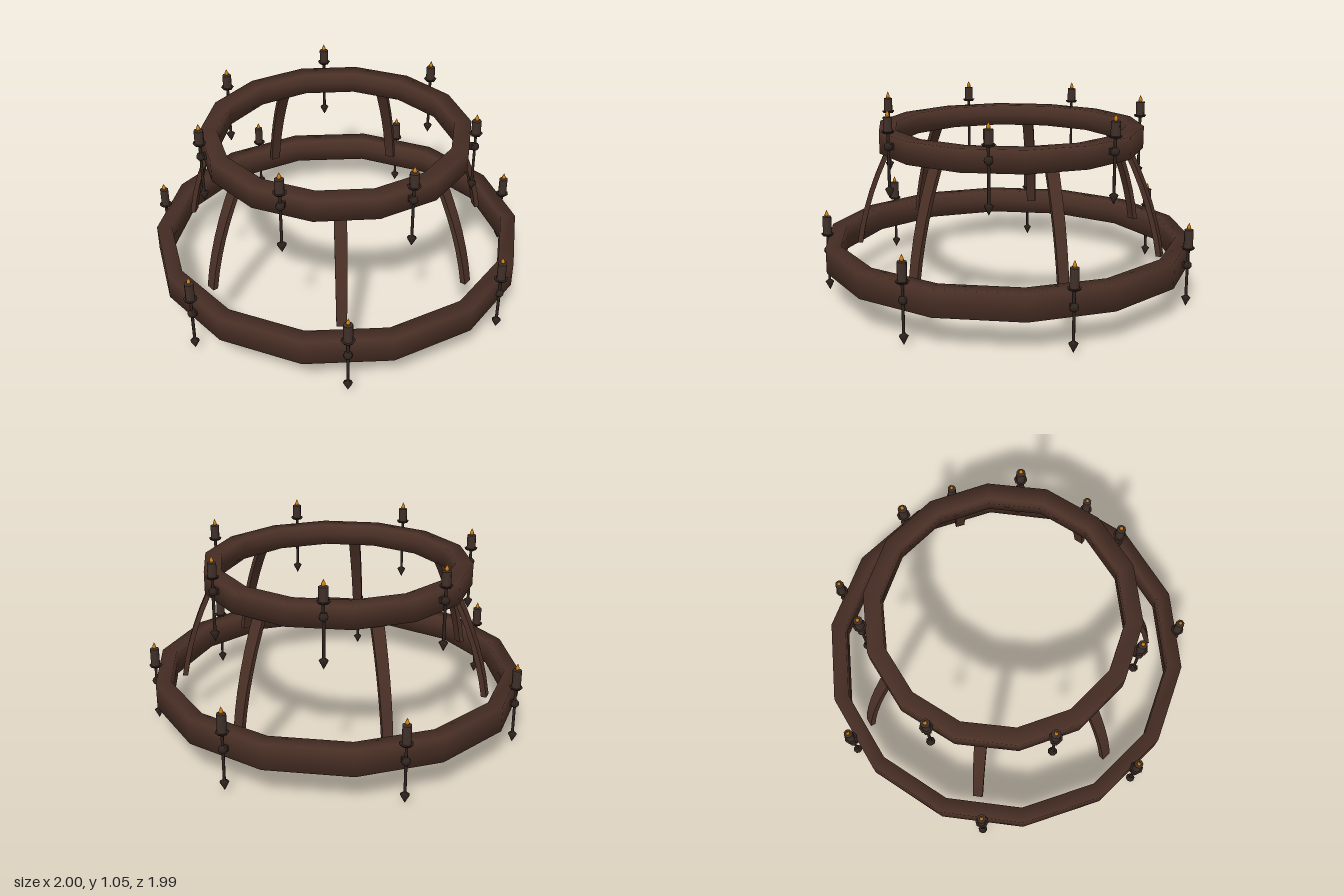
import * as THREE from 'three';

const wood = new THREE.MeshStandardMaterial({ name: 'darkWood', color: 0x4a3026 });
const iron = new THREE.MeshStandardMaterial({ name: 'blackenedIron', color: 0x30241e });
const wax = new THREE.MeshStandardMaterial({ name: 'candleHolderBrown', color: 0x40302a });
const fire = new THREE.MeshStandardMaterial({ name: 'flameOrange', color: 0xd0800f });

function part(name, geometry, material, x = 0, y = 0, z = 0) {
  const mesh = new THREE.Mesh(geometry, material);
  mesh.name = name;
  mesh.position.set(x, y, z);
  return mesh;
}

// Fourteen-sided hoop with a rectangular section
function hoop(name, inner, outer, bottom, top) {
  const mid = (bottom + top) / 2;
  const profile = [[inner, mid], [inner, bottom], [outer, bottom], [outer, top], [inner, top], [inner, mid]]
    .map(([r, y]) => new THREE.Vector2(r, y));
  return part(name, new THREE.LatheGeometry(profile, 14), wood);
}

// Bowed strut running from the upper hoop down and out to the lower one
function strutGeometry() {
  const geometry = new THREE.BoxGeometry(0.028, 1, 1, 1, 6, 1);
  const p = geometry.attributes.position;
  for (let i = 0; i < p.count; i++) {
    const t = p.getY(i) + 0.5;
    const y = 0.3 + 0.56 * t;
    const s = (y - 0.345) / 0.485;
    const r = 0.822 - 0.09 * s - 0.08 * s * s;
    p.setXYZ(i, r + p.getX(i), y, p.getZ(i) * (0.052 + 0.012 * t));
  }
  geometry.computeVertexNormals();
  return geometry;
}

// Candle on a spiked iron stem; y = 0 is the drip dish
function candleHolder(name, candleHeight, stemLength, knobDrop) {
  const group = new THREE.Group();
  group.name = name;
  const flameProfile = [[0, 0], [0.011, 0.009], [0.01, 0.018], [0, 0.04]]
    .map(([r, y]) => new THREE.Vector2(r, y));
  const spikeProfile = [[0, -0.055], [0.024, -0.008], [0.008, 0.004]]
    .map(([r, y]) => new THREE.Vector2(r, y));
  group.add(
    part('flame', new THREE.LatheGeometry(flameProfile, 8), fire, 0, candleHeight - 0.003, 0),
    part('candle', new THREE.CylinderGeometry(0.024, 0.024, candleHeight, 8), wax, 0, candleHeight / 2, 0),
    part('dripDish', new THREE.CylinderGeometry(0.035, 0.028, 0.01, 8), iron, 0, -0.003, 0),
    part('stem', new THREE.CylinderGeometry(0.008, 0.008, stemLength, 6), iron, 0, -stemLength / 2, 0),
    part('spike', new THREE.LatheGeometry(spikeProfile, 8), iron, 0, -stemLength, 0),
    part('knob', new THREE.SphereGeometry(0.023, 8, 6), iron, 0, -knobDrop, 0),
    // short peg fixing the knob to the hoop
    part('peg', new THREE.BoxGeometry(0.05, 0.03, 0.03), iron, -0.018, -knobDrop, 0)
  );
  return group;
}

export function createModel() {
  const model = new THREE.Group();
  model.name = 'candleChandelier';

  const lower = hoop('lowerHoop', 0.914, 0.995, 0.205, 0.345);
  lower.position.x = -0.03;
  const upper = hoop('upperHoop', 0.622, 0.712, 0.828, 0.944);
  upper.position.set(-0.03, 0, -0.015);
  upper.rotation.y = 0.016;
  model.add(lower, upper);

  const strut = strutGeometry();
  for (let i = 0; i < 7; i++) {
    const mesh = part('strut', strut, wood, -0.03, 0, -0.025);
    mesh.rotation.y = (i / 7) * Math.PI * 2 - 0.02;
    model.add(mesh);
  }

  // Candle holders around each hoop, as x and z positions
  const rows = [
    { name: 'lowerCandle', y: 0.353, height: 0.098, stem: 0.263, knob: 0.093, at: [
      [0.96, 0], [0.58, -0.785], [-0.27, -0.965], [-0.925, -0.428],
      [-0.915, 0.45], [-0.25, 0.955], [0.628, 0.727]] },
    { name: 'upperCandle', y: 0.972, height: 0.073, stem: 0.287, knob: 0.077, at: [
      [0.094, -0.722], [0.612, -0.342], [0.618, 0.302], [0.149, 0.682],
      [-0.465, 0.56], [-0.75, 0.012], [-0.505, -0.558]] }
  ];
  for (const row of rows) {
    for (const [x, z] of row.at) {
      const holder = candleHolder(row.name, row.height, row.stem, row.knob);
      holder.position.set(x, row.y, z);
      holder.rotation.y = Math.atan2(-z, x + 0.03);
      model.add(holder);
    }
  }
  return model;
}
